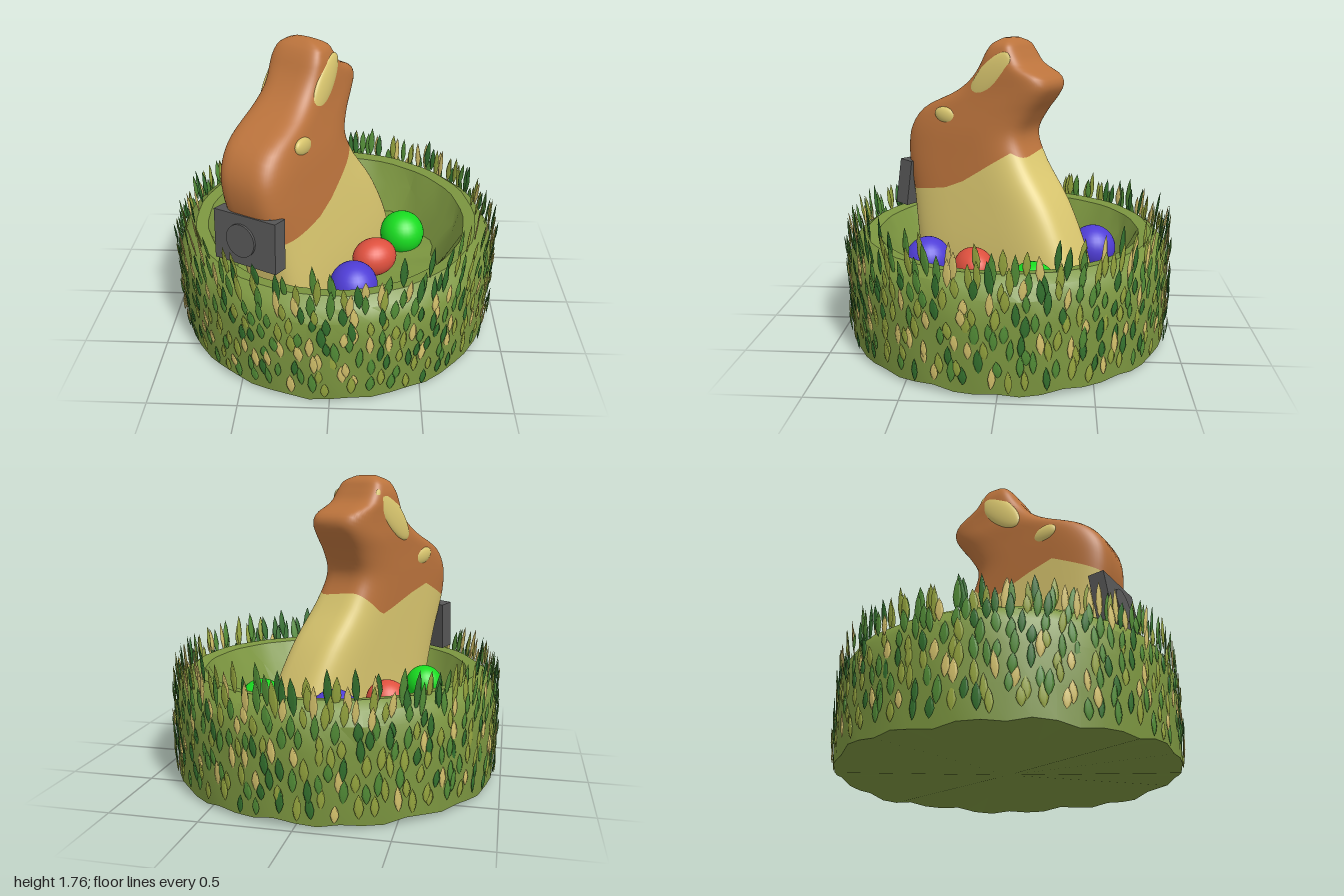
import * as THREE from 'three';
import { mergeGeometries, mergeVertices, toCreasedNormals } from 'three/addons/utils/BufferGeometryUtils.js';

const mat = (name, color) => {
  const m = new THREE.MeshStandardMaterial({ color });
  m.name = name;
  return m;
};

let seed = 7;
const rand = () => {
  seed = (seed * 16807) % 2147483647;
  return seed / 2147483647;
};

// Piecewise linear lookup in [[t, value], ...]
function lookup(table, t) {
  for (let i = 1; i < table.length; i++) {
    const [t0, v0] = table[i - 1], [t1, v1] = table[i];
    if (t <= t1) return v0 + (v1 - v0) * (t - t0) / (t1 - t0);
  }
  return table[table.length - 1][1];
}

// Horizontal sections of the rabbit: height, front z, back z, centre x, half width
const SECTIONS = [
  [0.2, 0.62, -0.55, -0.045, 0.23],
  [0.5, 0.66, -0.46, -0.055, 0.23],
  [0.8, 0.71, -0.31, -0.08, 0.222],
  [1.05, 0.765, -0.13, -0.105, 0.212],
  [1.2, 0.745, -0.075, -0.12, 0.205],
  [1.32, 0.645, -0.13, -0.135, 0.195],
  [1.42, 0.43, -0.2, -0.147, 0.188],
  [1.48, 0.34, -0.23, -0.15, 0.183],
  [1.54, 0.28, -0.205, -0.153, 0.18],
  [1.6, 0.235, -0.085, -0.158, 0.176],
  [1.68, 0.19, -0.02, -0.16, 0.16],
  [1.73, 0.15, 0.015, -0.16, 0.125],
  [1.755, 0.11, 0.06, -0.16, 0.06],
];
const TOP = 1.755;
const section = new THREE.CubicInterpolant(
  SECTIONS.map((s) => s[0]), SECTIONS.flatMap((s) => s.slice(1)), 4);

// Height of the line between wrapper and bare body on each side
const SEAM_RIGHT = [[0, 1.06], [0.06, 1.1], [0.6, 0.86], [1, 0.79]];
const SEAM_LEFT = [[0, 1.1], [0.27, 0.96], [0.63, 1.12], [1, 0.98]];

// Loft one part of the rabbit, either below or above the seam
function rabbitPart(upper) {
  const N = 64, R = upper ? 30 : 12, pos = [], idx = [];
  const soft = (v) => Math.sign(v) * Math.sqrt(Math.abs(v));
  for (let i = 0; i <= R; i++) {
    for (let j = 0; j < N; j++) {
      const a = (j / N) * Math.PI * 2;
      const cz = soft(Math.cos(a)), cx = soft(Math.sin(a)), t = (cz + 1) / 2;
      const across = THREE.MathUtils.clamp(cx * 0.7 + 0.5, 0, 1);
      const seam = THREE.MathUtils.lerp(lookup(SEAM_LEFT, t), lookup(SEAM_RIGHT, t), across);
      const v = i / R;
      const y = upper ? THREE.MathUtils.lerp(seam, TOP, 1 - (1 - v) ** 1.3)
        : THREE.MathUtils.lerp(0.2, seam, v);
      const [front, back, mid, half] = section.evaluate(y);
      pos.push(mid + cx * half, y, (front + back) / 2 + cz * (front - back) / 2);
    }
  }
  for (let i = 0; i < R; i++) {
    for (let j = 0; j < N; j++) {
      const a = i * N + j, b = i * N + (j + 1) % N;
      idx.push(a, b, a + N, b, b + N, a + N);
    }
  }
  if (upper) {
    pos.push(-0.16, TOP + 0.003, 0.085);
    for (let j = 0; j < N; j++) idx.push(R * N + j, R * N + (j + 1) % N, (R + 1) * N);
  }
  const g = new THREE.BufferGeometry();
  g.setAttribute('position', new THREE.Float32BufferAttribute(pos, 3));
  g.setIndex(idx);
  g.computeVertexNormals();
  return g;
}

// Bowl with a rounded rim, wavy foot and creased hollow
function nestGeometry() {
  const profile = [[0, 0.02], [0.95, 0.02], [0.96, 0.2], [0.96, 0.4], [0.95, 0.53], [0.91, 0.6],
    [0.85, 0.64], [0.78, 0.63], [0.71, 0.5], [0.62, 0.36], [0.4, 0.33], [0, 0.33]];
  const g = new THREE.LatheGeometry(profile.map((p) => new THREE.Vector2(...p)), 52);
  const p = g.attributes.position;
  for (let i = 0; i < p.count; i++) {
    const x = p.getX(i), y = p.getY(i), z = p.getZ(i), r = Math.hypot(x, z);
    if (r < 0.1) continue;
    const a = Math.atan2(x, z);
    const wave = Math.sin(17 * a + y * 9) * 0.6 + Math.sin(7 * a - y * 20) * 0.4;
    const inside = y > 0.3 && r < 0.75;
    const k = 1 + (inside ? 0.045 : 0.007) * wave;
    const lift = y < 0.1 ? 0.02 * wave : inside && r > 0.5 ? 0.02 * wave : 0;
    p.setXYZ(i, x * k, y + lift, z * k);
  }
  g.deleteAttribute('uv');
  g.deleteAttribute('normal');
  return toCreasedNormals(mergeVertices(g), 0.5);
}

// Thin pointed leaf of unit height, standing on the origin
function leafGeometry() {
  const pts = [[0.02, 0], [0.32, 0.18], [0.5, 0.42], [0.34, 0.74], [0, 1]];
  const g = new THREE.LatheGeometry(pts.map((p) => new THREE.Vector2(...p)), 6, Math.PI / 6);
  g.scale(1, 1, 0.22);
  g.computeVertexNormals();
  return g;
}

export function createModel() {
  const brown = mat('brown wrapper', 0xbb733c);
  const cream = mat('cream', 0xdac76f);
  const grey = mat('dark grey', 0x575757);
  const blue = mat('blue', 0x4f3dd6);
  const red = mat('red', 0xde503e);
  const green = mat('bright green', 0x18dc20);
  const olive = mat('olive', 0x7c9640);
  const leafMats = [mat('dark leaf', 0x35732f), mat('mid leaf', 0x548f38), mat('lime leaf', 0x98a840), cream];

  const model = new THREE.Group();
  const add = (parent, name, geo, material, x = 0, y = 0, z = 0) => {
    const m = new THREE.Mesh(geo, material);
    m.name = name;
    m.position.set(x, y, z);
    parent.add(m);
    return m;
  };

  add(model, 'nest', nestGeometry(), olive);

  // Leaves on the wall and blades on the rim, merged by colour
  const leaf = leafGeometry(), buckets = [[], [], [], []], dummy = new THREE.Object3D();
  const plant = (angle, r, y, height, width, tilt) => {
    dummy.position.set(Math.sin(angle) * r, y, Math.cos(angle) * r);
    dummy.rotation.set(tilt, angle, (rand() - 0.5) * 0.2, 'YXZ');
    dummy.scale.set(width, height, width);
    dummy.updateMatrix();
    const pick = rand();
    const k = pick < 0.24 ? 0 : pick < 0.55 ? 1 : pick < 0.8 ? 2 : 3;
    buckets[k].push(leaf.clone().applyMatrix4(dummy.matrix));
  };
  const ring = (count, shift, r, y, height, width, tilt) => {
    for (let i = 0; i < count; i++) {
      const a = ((i + shift + (rand() - 0.5) * 0.5) / count) * Math.PI * 2;
      plant(a, r + (rand() - 0.5) * 0.015, y + (rand() - 0.5) * 0.05,
        height * (0.8 + rand() * 0.4), width * (0.85 + rand() * 0.3), tilt + (rand() - 0.5) * 0.1);
    }
  };
  for (let row = 0; row < 8; row++) ring(58, (row % 2) / 2, 0.964, 0.06 + row * 0.066, 0.122, 0.046, 0.07);
  ring(62, 0, 0.945, 0.56, 0.17, 0.046, 0.1);
  ring(50, 0.5, 0.91, 0.59, 0.18, 0.046, 0.12);
  ring(40, 0.2, 0.86, 0.62, 0.18, 0.046, 0.12);
  const leafNames = ['darkLeaves', 'midLeaves', 'limeLeaves', 'strawLeaves'];
  buckets.forEach((b, i) => add(model, leafNames[i], mergeGeometries(b), leafMats[i]));

  // Eggs: material, x, y, z, radius, stretch
  const eggs = [
    [green, 0.42, 0.41, -0.16, 0.14, 1], [blue, -0.11, 0.47, -0.52, 0.14, 1],
    [red, -0.35, 0.49, -0.23, 0.115, 1.05], [green, -0.53, 0.52, 0.07, 0.11, 1],
    [red, 0.24, 0.45, 0.19, 0.115, 1.2], [blue, 0.12, 0.45, 0.48, 0.138, 1],
  ];
  for (const [m, x, y, z, r, stretch] of eggs) {
    const egg = add(model, 'egg', new THREE.SphereGeometry(r, 28, 18), m, x, y, z);
    egg.scale.x = stretch;
    egg.rotation.y = 0.5;
  }

  // Rabbit, turned on the nest
  const rabbit = new THREE.Group();
  rabbit.name = 'rabbit';
  rabbit.rotation.y = -Math.PI / 6;
  model.add(rabbit);
  add(rabbit, 'bareBody', rabbitPart(false), cream);
  add(rabbit, 'wrapperAndHead', rabbitPart(true), brown);

  // Eyes and inner ears on both sides
  for (const side of [-1, 1]) {
    const eye = add(rabbit, 'eye', new THREE.SphereGeometry(1, 24, 16), cream, -0.128 + side * 0.184, 1.28, 0.42);
    eye.scale.set(0.028, 0.052, 0.085);
    eye.rotation.set(-0.28, side * 0.12, 0);
    const ear = add(rabbit, 'innerEar', new THREE.SphereGeometry(1, 28, 18), cream, -0.155 + side * 0.166, 1.532, 0.13);
    ear.scale.set(0.026, 0.078, 0.19);
    ear.rotation.set(0.82, 0, side * 0.08, 'ZXY');
  }

  // Box with a round front plate hung at the chest
  const box = new THREE.Group();
  box.name = 'chestBox';
  box.position.set(-0.09, 0.82, 0.735);
  box.rotation.set(-0.12, 0, 0.06);
  rabbit.add(box);
  add(box, 'boxBody', new THREE.BoxGeometry(0.41, 0.29, 0.09), grey);
  const plate = add(box, 'roundPlate', new THREE.CylinderGeometry(0.095, 0.095, 0.016, 32), grey, -0.02, 0, 0.05);
  plate.rotation.x = Math.PI / 2;
  add(box, 'button', new THREE.CylinderGeometry(0.015, 0.015, 0.012, 16), grey, 0.14, 0.148, 0);

  return model;
}
